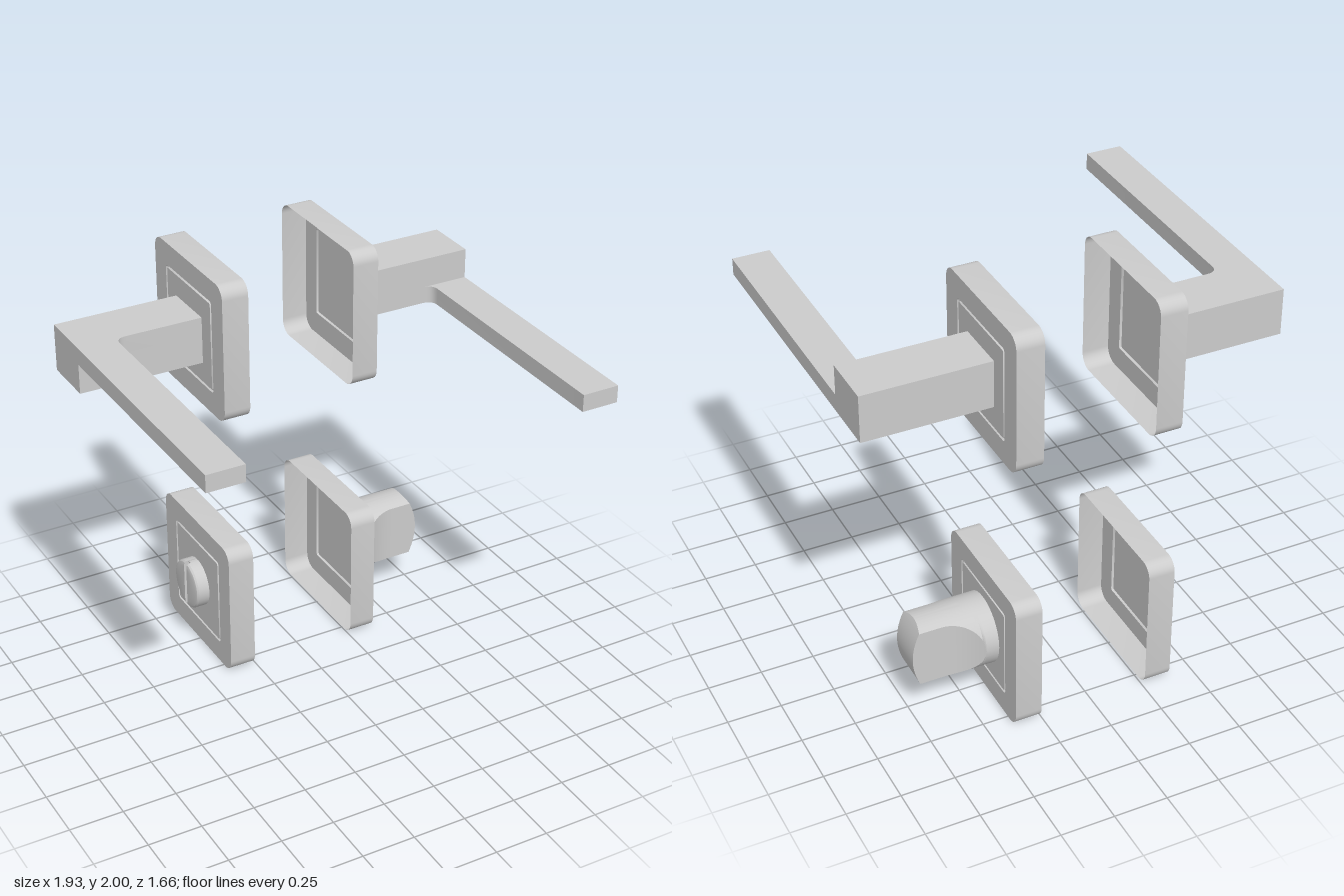
import * as THREE from 'three';
import { toCreasedNormals } from 'three/addons/utils/BufferGeometryUtils.js';

const grey = new THREE.MeshStandardMaterial({ color: 0xcccccc });
const thin = new THREE.MeshStandardMaterial({ color: 0xcccccc, side: THREE.DoubleSide });

// Every set is built around its plate centre, with +x pointing away from the door.
const PLATE = 0.125;

function add(parent, name, geometry, material = grey) {
  const mesh = new THREE.Mesh(geometry, material);
  mesh.name = name;
  parent.add(mesh);
  return mesh;
}

// Skin over equal-length rings of [x, y, z], closed at the far end by strips between its two halves
function loft(rings) {
  const n = rings[0].length;
  const index = [];
  const quad = (a, b, c, d) => index.push(a, b, c, a, c, d);
  for (let r = 0; r < rings.length - 1; r++) {
    for (let i = 0; i < n; i++) {
      const j = (i + 1) % n;
      quad(r * n + i, r * n + j, (r + 1) * n + j, (r + 1) * n + i);
    }
  }
  const o = (rings.length - 1) * n;
  for (let i = 0; i < n / 2 - 1; i++) quad(o + i, o + i + 1, o + n - 2 - i, o + n - 1 - i);
  const g = new THREE.BufferGeometry();
  g.setAttribute('position', new THREE.Float32BufferAttribute(rings.flat(2), 3));
  g.setIndex(index);
  return toCreasedNormals(g, 0.5);
}

// Full ring from its +z half, listed top to bottom
const mirrored = (half) => [...half, ...half.map(([x, y, z]) => [x, y, -z]).reverse()];

function squareRing(x, h, r) {
  const half = [];
  for (const s of [1, -1]) {
    for (let i = 0; i <= 8; i++) {
      const a = (i / 8 + (s < 0 ? 1 : 0)) * Math.PI / 2;
      half.push([x, s * (h - r) + r * Math.cos(a), h - r + r * Math.sin(a)]);
    }
  }
  return mirrored(half);
}

// Hollow cover plate, open at the back, with a square groove in its face
function plate() {
  return loft([
    squareRing(0, 0.328, 0.06),
    squareRing(PLATE, 0.328, 0.06),
    squareRing(PLATE, 0.222, 0.018),
    squareRing(PLATE - 0.01, 0.219, 0.015),
    squareRing(PLATE - 0.01, 0.212, 0.01),
    squareRing(PLATE, 0.209, 0.008),
  ]);
}

// Square neck, with a thin filleted lever along its lower edge
function handle() {
  const g = new THREE.Group();
  g.name = 'handle';
  const bottom = -0.107, split = -0.027, top = 0.113, end = 0.71, inner = 0.535, d = 0.125, f = 0.05;
  const neck = new THREE.BoxGeometry(end - PLATE, top - split, 2 * d);
  neck.translate((PLATE + end) / 2, (top + split) / 2, 0);
  add(g, 'neckUpperBlock', neck);

  const s = new THREE.Shape();
  s.moveTo(PLATE, -d);
  s.lineTo(end, -d);
  s.lineTo(end, 1.33);
  s.lineTo(inner, 1.33);
  s.lineTo(inner, d + f);
  s.quadraticCurveTo(inner, d, inner - f, d);
  s.lineTo(PLATE, d);
  s.closePath();
  const lever = new THREE.ExtrudeGeometry(s, { depth: split - bottom, bevelEnabled: false, curveSegments: 8 });
  lever.rotateX(Math.PI / 2).translate(0, split, 0);
  add(g, 'lever', toCreasedNormals(lever, 0.5));
  return g;
}

// Round knob scooped on both sides to a grip with an arched end
function turnKnob() {
  const r = 0.163, grip = 0.085, start = 0.185, stop = 0.365;
  const ring = (x, arched) => {
    const t = Math.min(1, Math.max(0, (stop - x) / (stop - start)));
    const w = x <= start ? r : Math.min(r, grip + (r - grip) * t * t);
    const a = Math.asin(w / r);
    const half = [];
    const put = (y, z) => half.push([arched ? x - 1.7 * y * y : x, y, z]);
    for (let i = 0; i <= 14; i++) put(r * Math.cos(a * i / 14), r * Math.sin(a * i / 14));
    for (let i = 1; i < 12; i++) put(r * Math.cos(a) * (1 - i / 6), w);
    for (let i = 14; i >= 0; i--) put(-r * Math.cos(a * i / 14), r * Math.sin(a * i / 14));
    return mirrored(half);
  };
  const rings = [ring(PLATE)];
  for (let i = 0; i <= 14; i++) rings.push(ring(start + (stop - start) * i / 14));
  rings.push(ring(0.5, true));
  return loft(rings);
}

// Emergency release: disc with a bevelled rim and a vertical slot
function releaseButton() {
  const g = new THREE.Group();
  g.name = 'releaseButton';
  const gap = 0.012, r = 0.118;
  const base = new THREE.CylinderGeometry(r - 0.004, r - 0.004, 0.04, 40);
  base.rotateZ(-Math.PI / 2).translate(PLATE + 0.02, 0, 0);
  add(g, 'slotFloor', base);
  const ring = (x, rad) => {
    const arc = [];
    const a0 = Math.asin(gap / rad);
    for (let i = 0; i <= 24; i++) {
      const a = a0 + (Math.PI - 2 * a0) * i / 24;
      arc.push([x, rad * Math.cos(a), rad * Math.sin(a)]);
    }
    return [...arc, ...arc.map(([px, y]) => [px, y, gap]).reverse()];
  };
  const segment = loft([ring(PLATE, r), ring(0.178, r), ring(0.186, 0.112), ring(0.19, 0.1)]);
  for (const turn of [0, Math.PI]) add(g, 'buttonHalf', segment).rotation.x = turn;
  return g;
}

export function createModel() {
  const model = new THREE.Group();
  model.name = 'doorHandleSet';
  const cover = plate();

  const set = (name, x, y, flipped) => {
    const g = new THREE.Group();
    g.name = name;
    g.position.set(x, y, -0.502);
    if (flipped) g.rotation.z = Math.PI;
    add(g, 'coverPlate', cover, thin);
    model.add(g);
    return g;
  };

  // The right-hand sets are the left-hand ones turned half round
  set('leftHandleSet', 0.255, 1.672, false).add(handle());
  set('rightHandleSet', -0.26, 1.658, true).add(handle());
  add(set('knobSet', 0.255, 0.332, false), 'turnKnob', turnKnob());
  set('releaseSet', -0.26, 0.332, true).add(releaseButton());
  return model;
}
